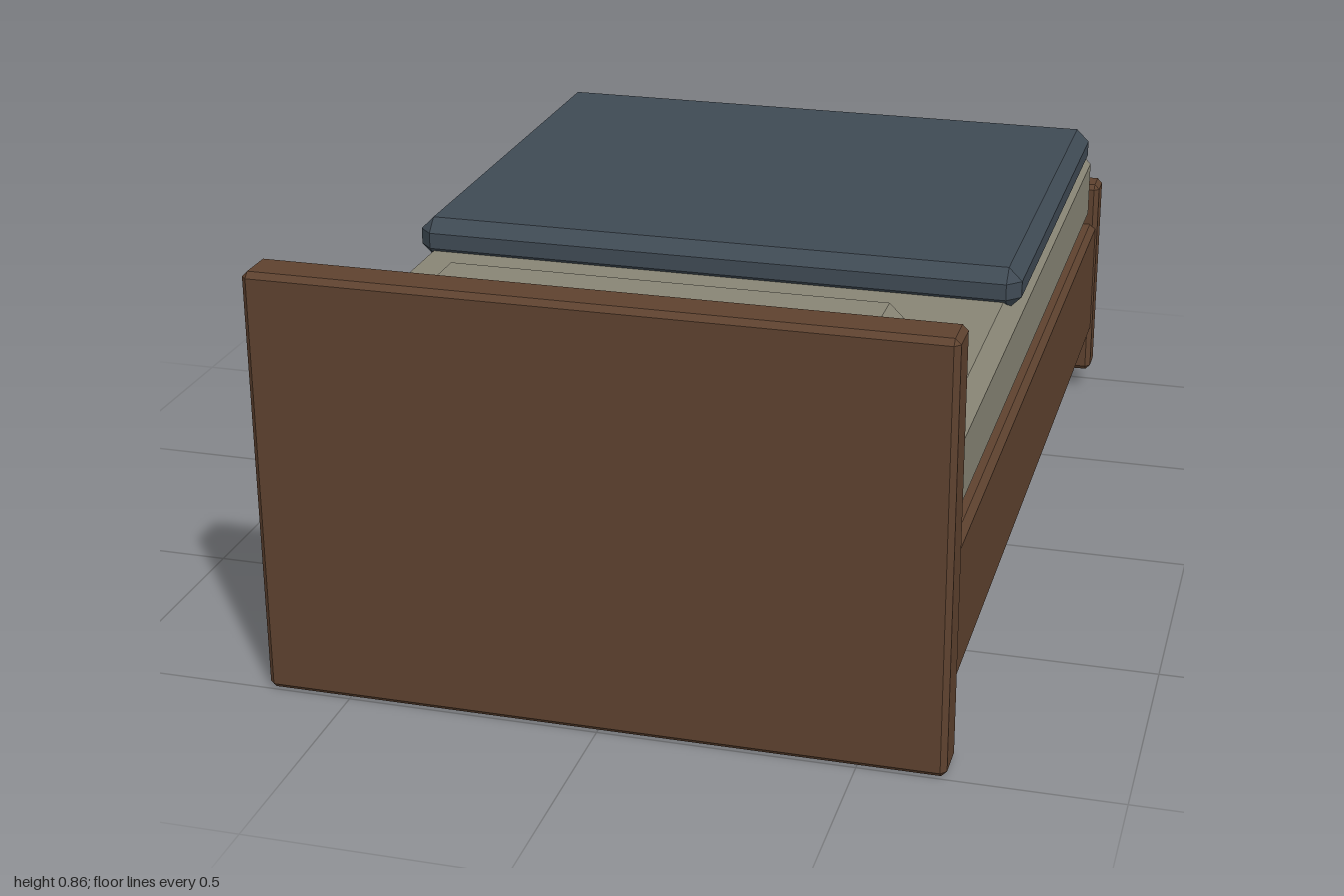
import * as THREE from 'three';
import { ConvexGeometry } from 'three/addons/geometries/ConvexGeometry.js';

// Box from min to max corner with all edges cut off at 45 degrees.
function chamferBox(min, max, bevel) {
  const half = max.map((v, i) => (v - min[i]) / 2);
  const points = [];
  for (const sx of [-1, 1]) for (const sy of [-1, 1]) for (const sz of [-1, 1]) {
    for (let axis = 0; axis < 3; axis++) {
      // The corner point lying on the face of this axis
      const p = [sx, sy, sz].map((s, i) => s * (half[i] - (i === axis ? 0 : bevel)));
      points.push(new THREE.Vector3(...p));
    }
  }
  const geometry = new ConvexGeometry(points);
  geometry.translate(...max.map((v, i) => (v + min[i]) / 2));
  return geometry;
}

export function createModel() {
  const bed = new THREE.Group();
  bed.name = 'bed';

  const material = (name, color) => {
    const m = new THREE.MeshStandardMaterial({ color });
    m.name = name;
    return m;
  };
  const wood = material('brown wood', 0x5e422f);
  const linen = material('grey linen', 0x888575);
  const wool = material('blue wool', 0x3f4a54);

  // Every part is centred on x = 0: half width, y range, z range, bevel
  const add = (name, mat, halfWidth, [y0, y1], [z0, z1], bevel) => {
    const mesh = new THREE.Mesh(
      chamferBox([-halfWidth, y0, z0], [halfWidth, y1, z1], bevel), mat);
    mesh.name = name;
    bed.add(mesh);
  };

  // Wooden frame
  add('headboard', wood, 0.668, [0, 0.86], [0.908, 1], 0.011);
  add('footboard', wood, 0.668, [0.05, 0.53], [-1, -0.925], 0.011);
  add('bedBase', wood, 0.664, [0.15, 0.432], [-0.945, 0.935], 0.013);

  // Bedding
  add('mattress', linen, 0.648, [0.434, 0.626], [-0.937, 0.937], 0.034);
  add('pillow', linen, 0.48, [0.626, 0.73], [0.475, 0.855], 0.034);
  add('blanket', wool, 0.648, [0.605, 0.695], [-0.867, 0.184], 0.028);

  return bed;
}
